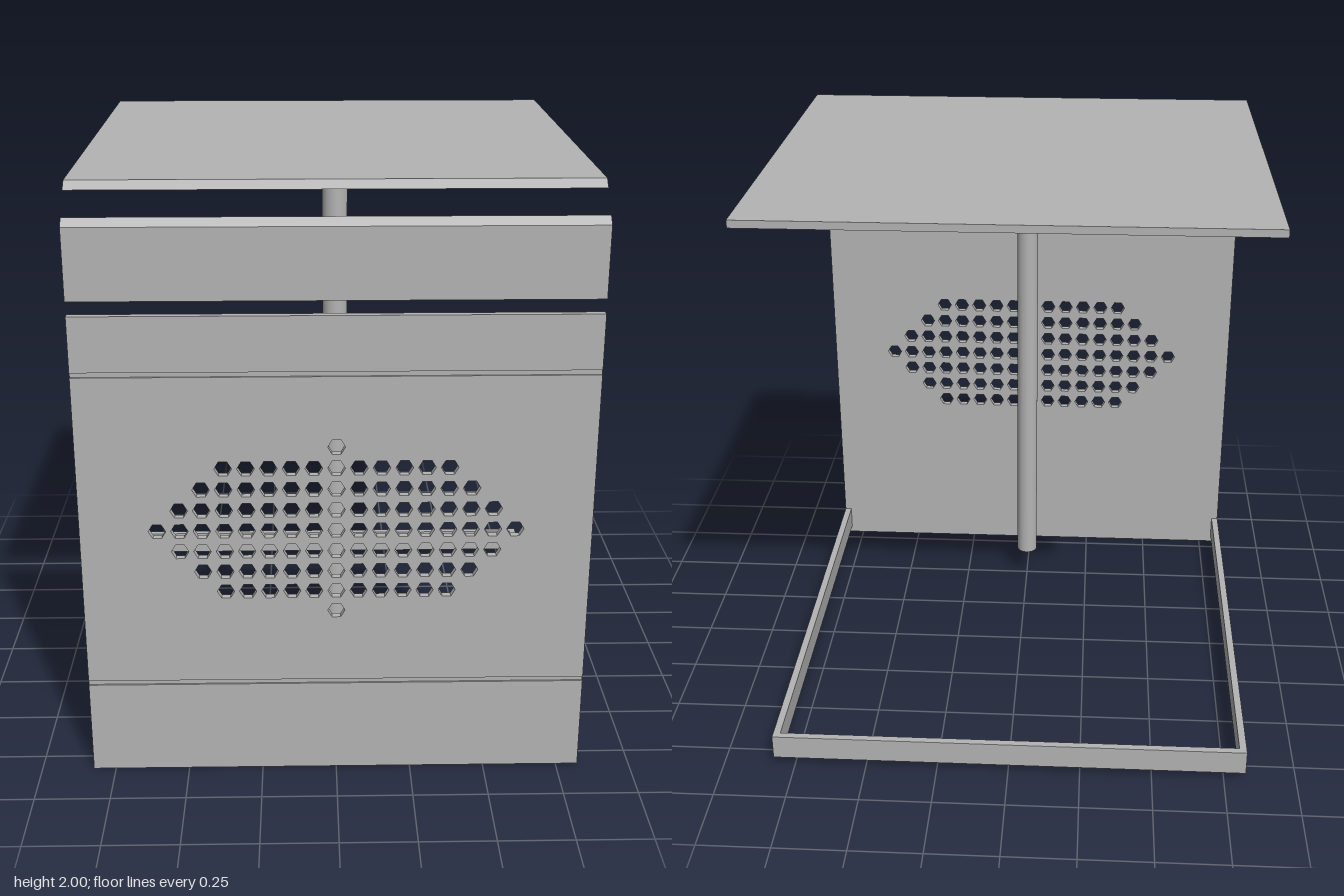
import * as THREE from 'three';

const HALF = 0.825;      // half width and half depth
const SHEET = 0.025;     // panel thickness
const PANEL_BACK = HALF - SHEET;

export function createModel() {
  const model = new THREE.Group();
  model.name = 'cabinet';
  const grey = new THREE.MeshStandardMaterial({ color: 0xb4b4b4 });
  grey.name = 'plain grey';

  const add = (parent, name, geometry) => {
    const mesh = new THREE.Mesh(geometry, grey);
    mesh.name = name;
    parent.add(mesh);
    return mesh;
  };

  const box = (parent, name, x0, x1, y0, y1, z0, z1) => {
    const g = new THREE.BoxGeometry(x1 - x0, y1 - y0, z1 - z0);
    g.translate((x0 + x1) / 2, (y0 + y1) / 2, (z0 + z1) / 2);
    return add(parent, name, g);
  };

  // Side profile given as (z, y) points, swept across the full width
  const sweep = (name, points) => {
    const shape = new THREE.Shape(points.map(([z, y]) => new THREE.Vector2(-z, y)));
    const g = new THREE.ExtrudeGeometry(shape, { depth: 2 * HALF, bevelEnabled: false });
    g.translate(0, 0, -HALF);
    g.rotateY(Math.PI / 2);
    return add(model, name, g);
  };

  // Lid and upper fascia, both with a chamfered edge
  sweep('topPanel', [[-HALF, 1.975], [0.735, 1.975], [0.705, 2], [-HALF, 2]]);
  sweep('upperFascia', [[PANEL_BACK, 1.652], [HALF, 1.652], [HALF, 1.882], [PANEL_BACK, 1.907]]);

  // Front panel: three bands parted by two shallow grooves
  const front = new THREE.Group();
  front.name = 'frontPanel';
  model.add(front);
  const groove = HALF - 0.006;
  box(front, 'lowerBand', -HALF, HALF, 0, 0.324, PANEL_BACK, HALF);
  box(front, 'lowerGroove', -HALF, HALF, 0.324, 0.34, PANEL_BACK, groove);
  box(front, 'upperGroove', -HALF, HALF, 1.408, 1.424, PANEL_BACK, groove);
  box(front, 'upperBand', -HALF, HALF, 1.424, 1.605, PANEL_BACK, HALF);

  // Middle band pierced by a grid of hexagonal vents
  const middle = new THREE.Shape([
    new THREE.Vector2(-HALF, 0.34), new THREE.Vector2(HALF, 0.34),
    new THREE.Vector2(HALF, 1.408), new THREE.Vector2(-HALF, 1.408),
  ]);
  const pitch = 0.072, ventY = 0.885, ventRadius = 0.028;
  for (let row = -4; row <= 4; row++) {
    const reach = Math.abs(row) === 4 ? 0 : 8 - Math.abs(row);
    for (let col = -reach; col <= reach; col++) {
      const corners = [];
      for (let i = 0; i < 6; i++) {
        const a = -i * Math.PI / 3;
        corners.push(new THREE.Vector2(
          col * pitch + ventRadius * Math.cos(a),
          ventY + row * pitch + ventRadius * Math.sin(a)));
      }
      middle.holes.push(new THREE.Path(corners));
    }
  }
  const vented = new THREE.ExtrudeGeometry(middle, { depth: SHEET, bevelEnabled: false });
  vented.translate(0, 0, PANEL_BACK);
  add(front, 'ventedBand', vented);

  // Base rails on three sides
  const base = new THREE.Group();
  base.name = 'baseFrame';
  model.add(base);
  const inner = HALF - SHEET;
  box(base, 'leftRail', inner, HALF, 0.028, 0.115, -HALF, PANEL_BACK);
  box(base, 'rightRail', -HALF, -inner, 0.028, 0.115, -HALF, PANEL_BACK);
  box(base, 'backRail', -inner, inner, 0.028, 0.115, -HALF, -inner);

  // Hollow post behind the front panel
  const ring = new THREE.Shape();
  ring.absarc(0, 0, 0.04, 0, Math.PI * 2, false);
  const bore = new THREE.Path();
  bore.absarc(0, 0, 0.02, 0, Math.PI * 2, true);
  ring.holes.push(bore);
  const tube = new THREE.ExtrudeGeometry(ring, { depth: 1.835, bevelEnabled: false, curveSegments: 24 });
  tube.rotateX(-Math.PI / 2);
  const post = add(model, 'post', tube);
  post.position.set(0, 0.115, 0.51);

  return model;
}
